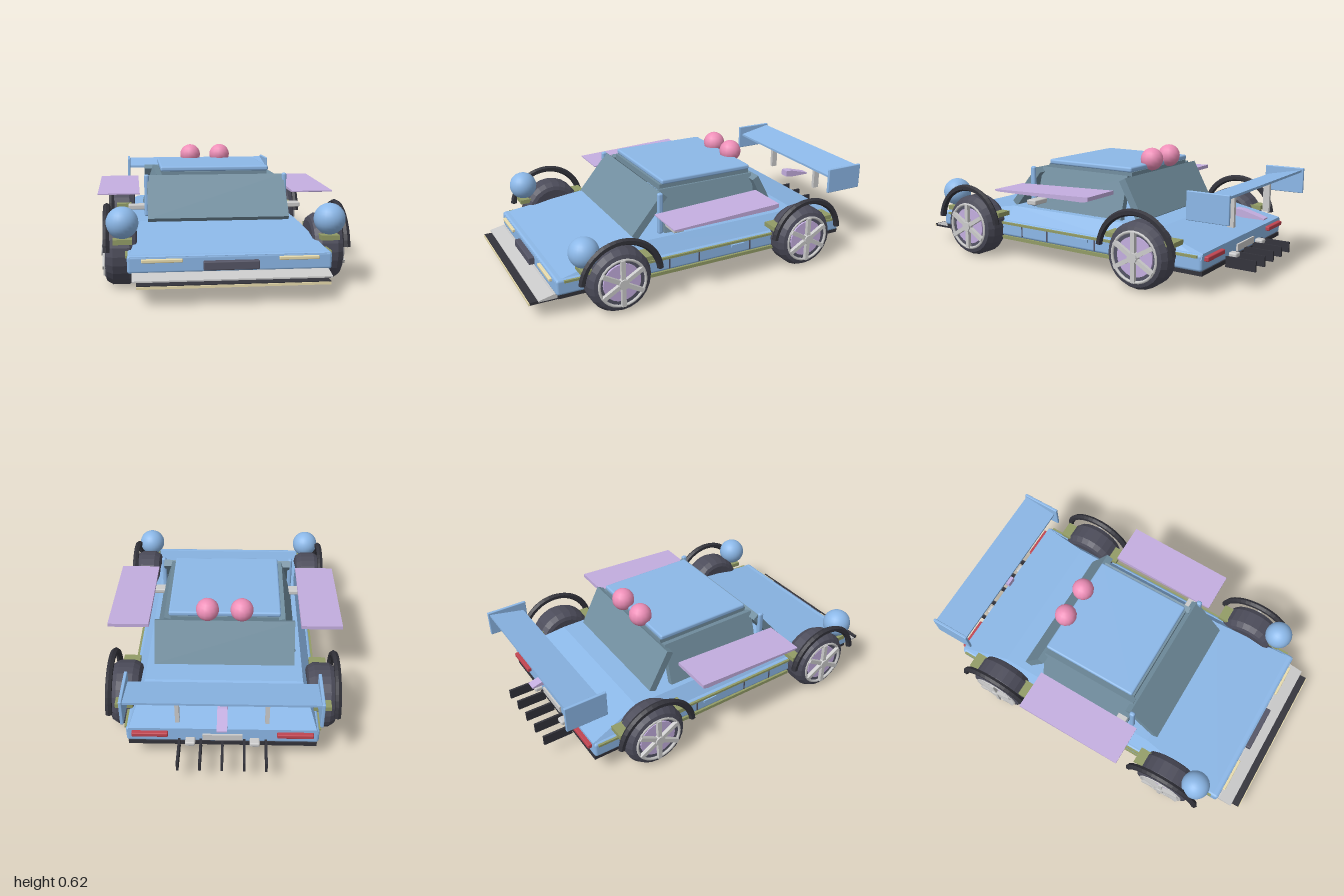
import * as THREE from 'three';
import { RoundedBoxGeometry } from 'three/addons/geometries/RoundedBoxGeometry.js';

const mat = (color, extra = {}) => new THREE.MeshStandardMaterial({ color, ...extra });
const blue = mat(0x8cb8e8), glass = mat(0x728fa0), lilac = mat(0xc4aee0), pink = mat(0xee8fb8);
const olive = mat(0x929c66), dark = mat(0x33333b), grey = mat(0xcccccc), cream = mat(0xe8dcae);
const red = mat(0xc04450), slate = mat(0x555566);
const rubber = mat(0x4c4c5a, { flatShading: true });
const SIDES = [-1, 1];

export function createModel() {
  const car = new THREE.Group();
  car.name = 'car';

  const add = (name, geometry, material, x = 0, y = 0, z = 0, parent = car) => {
    const mesh = new THREE.Mesh(geometry, material);
    mesh.name = name;
    mesh.position.set(x, y, z);
    parent.add(mesh);
    return mesh;
  };
  // Box given by its extents [min, max] on each axis
  const block = (name, material, [x0, x1], [y0, y1], [z0, z1], radius = 0) => {
    const size = [x1 - x0, y1 - y0, z1 - z0];
    const geometry = radius ? new RoundedBoxGeometry(...size, 2, radius) : new THREE.BoxGeometry(...size);
    return add(name, geometry, material, (x0 + x1) / 2, (y0 + y1) / 2, (z0 + z1) / 2);
  };
  // Same, mirrored to both sides
  const pair = (name, material, [x0, x1], ys, zs, radius = 0) =>
    SIDES.map(s => block(name, material, s > 0 ? [x0, x1] : [-x1, -x0], ys, zs, radius));
  // Side profile of [z, y] points, extruded across x
  const profile = (name, material, points, x0, x1) => {
    const shape = new THREE.Shape(points.map(([z, y]) => new THREE.Vector2(-z, y)));
    const geometry = new THREE.ExtrudeGeometry(shape, { depth: x1 - x0, bevelEnabled: false });
    geometry.rotateY(Math.PI / 2);
    return add(name, geometry, material, x0);
  };

  // Lower body and floor
  block('lowerBody', blue, [-0.48, 0.48], [0.12, 0.205], [-0.84, 0.87], 0.015);
  block('floor', dark, [-0.47, 0.47], [0.1, 0.122], [-0.84, 0.86]);
  add('upperBody', upperBody(), blue);

  // Side trim, sills, panel seams and handles
  pair('sideTrim', olive, [0.47, 0.488], [0.188, 0.2], [-0.82, 0.83]);
  pair('sill', olive, [0.46, 0.486], [0.104, 0.122], [-0.4, 0.4]);
  for (const z of [0.26, 0.085, -0.23]) pair('panelSeam', slate, [0.47, 0.482], [0.13, 0.188], [z - 0.004, z + 0.004]);
  pair('doorHandle', blue, [0.475, 0.49], [0.168, 0.182], [-0.19, -0.11]);

  // Cabin
  const windscreen = add('windscreen', new THREE.BoxGeometry(0.74, 0.27, 0.04), glass, 0, 0.388, 0.318);
  windscreen.rotation.x = -0.7;
  const rearWindow = add('rearWindow', new THREE.BoxGeometry(0.74, 0.235, 0.04), glass, 0, 0.388, -0.38);
  rearWindow.rotation.x = 0.5;
  for (const s of SIDES) {
    const side = add('sideWindow', new THREE.BoxGeometry(0.035, 0.23, 0.56), glass, s * 0.335, 0.39, -0.045);
    side.rotation.z = s * 0.28;
  }
  block('roofBase', glass, [-0.285, 0.285], [0.485, 0.518], [-0.33, 0.22]);
  block('roof', blue, [-0.295, 0.295], [0.517, 0.545], [-0.33, 0.21], 0.01);
  pair('pillar', blue, [0.36, 0.385], [0.285, 0.51], [0.245, 0.275], 0.01);
  pair('mirror', grey, [0.36, 0.47], [0.315, 0.342], [0.17, 0.23], 0.006);

  // Raised doors
  const door = [[0.31, 0.41], [0.29, 0.406], [-0.27, 0.412], [-0.3, 0.42], [-0.3, 0.44], [0.31, 0.416]];
  for (const s of SIDES) profile('raisedDoor', lilac, door, s > 0 ? 0.41 : -0.63, s > 0 ? 0.63 : -0.41);

  // Roof lamps and headlamps
  for (const s of SIDES) {
    add('roofLamp', new THREE.SphereGeometry(0.061, 14, 10), pink, s * 0.09, 0.565, -0.33);
    add('headlamp', new THREE.SphereGeometry(0.077, 24, 16), blue, s * 0.5, 0.337, 0.73);
  }

  // Nose
  pair('frontLight', cream, [0.225, 0.415], [0.174, 0.191], [0.86, 0.885], 0.004);
  block('grille', slate, [-0.13, 0.13], [0.137, 0.178], [0.86, 0.9], 0.005);
  profile('frontBumper', grey, [[0.86, 0.103], [0.955, 0.103], [0.955, 0.11], [0.88, 0.127], [0.86, 0.127]], -0.46, 0.46);
  block('splitter', dark, [-0.44, 0.44], [0.085, 0.1], [0.85, 0.995]);
  block('splitterLip', cream, [-0.44, 0.44], [0.084, 0.096], [0.994, 1]);

  // Tail
  pair('tailLight', red, [0.27, 0.45], [0.168, 0.192], [-0.862, -0.83], 0.005);
  block('rearPlate', grey, [-0.1, 0.1], [0.14, 0.175], [-0.85, -0.83]);
  pair('exhaust', grey, [0.135, 0.185], [0.125, 0.15], [-0.88, -0.82], 0.008);
  for (let i = -2; i <= 2; i++) {
    const x = i * 0.108;
    block('diffuserFin', dark, [x - 0.006, x + 0.006], [0.085, 0.14], [-1, -0.84]);
  }

  // Rear wing and the small fin beneath it
  profile('wing', blue, [[-0.77, 0.44], [-0.77, 0.452], [-0.96, 0.49], [-0.96, 0.478]], -0.46, 0.46);
  pair('wingEndPlate', blue, [0.458, 0.474], [0.36, 0.5], [-0.97, -0.75], 0.004);
  pair('wingPost', grey, [0.207, 0.227], [0.29, 0.465], [-0.88, -0.845]);
  profile('tailFin', lilac, [[-0.79, 0.34], [-0.79, 0.305], [-0.83, 0.298], [-0.95, 0.298], [-0.95, 0.305], [-0.83, 0.338]], -0.025, 0.025);

  // Wheels, arches and the mounting blocks above them
  for (const z of [0.567, -0.535]) {
    pair('archMount', olive, [0.455, 0.545], [0.236, 0.26], [z - 0.195, z + 0.195]);
    for (const s of SIDES) {
      const wheel = makeWheel(add);
      wheel.position.set(s * 0.508, 0.17, z);
      wheel.rotation.z = -s * Math.PI / 2;
      car.add(wheel);
      const arch = add('wheelArch', new THREE.TorusGeometry(0.209, 0.018, 6, 20, Math.PI * 0.92), dark, s * 0.576, 0.178, z);
      arch.rotation.set(0, Math.PI / 2, Math.PI * 0.04, 'YXZ');
      arch.material = archMaterial;
    }
  }
  return car;
}

const archMaterial = mat(0x33333b, { flatShading: true, side: THREE.DoubleSide });

// Hood, shoulders and rear deck lofted through sections of [z, top half width, top height]
function upperBody() {
  const sections = [[-0.84, 0.465, 0.208], [-0.56, 0.41, 0.28], [0.38, 0.41, 0.28], [0.868, 0.47, 0.2]];
  const positions = [], index = [];
  for (const [z, w, y] of sections) positions.push(-0.478, 0.18, z, 0.478, 0.18, z, w, y, z, -w, y, z);
  for (let i = 0; i < sections.length - 1; i++) {
    for (let j = 0; j < 4; j++) {
      const a = i * 4 + j, b = i * 4 + (j + 1) % 4;
      index.push(a, b, b + 4, a, b + 4, a + 4);
    }
  }
  const n = (sections.length - 1) * 4;
  index.push(0, 2, 1, 0, 3, 2, n, n + 1, n + 2, n, n + 2, n + 3);
  const geometry = new THREE.BufferGeometry();
  geometry.setAttribute('position', new THREE.Float32BufferAttribute(positions, 3));
  geometry.setIndex(index);
  const flat = geometry.toNonIndexed();
  flat.computeVertexNormals();
  return flat;
}

// Wheel with its axle along local y, outer face at +y
function makeWheel(add) {
  const wheel = new THREE.Group();
  wheel.name = 'wheel';
  const tyre = [[0.01, -0.07], [0.13, -0.077], [0.15, -0.07], [0.168, -0.04], [0.168, 0.04], [0.15, 0.07], [0.13, 0.077], [0.125, 0.05]];
  add('tyre', new THREE.LatheGeometry(tyre.map(p => new THREE.Vector2(...p)), 24), rubber, 0, 0, 0, wheel);
  add('rimBack', new THREE.CylinderGeometry(0.127, 0.127, 0.02, 24), slate, 0, 0.05, 0, wheel);
  add('brakeDisc', new THREE.CylinderGeometry(0.1, 0.1, 0.02, 24), lilac, 0, 0.06, 0, wheel);
  const ring = add('rimRing', new THREE.TorusGeometry(0.124, 0.008, 6, 28), grey, 0, 0.075, 0, wheel);
  ring.rotation.x = Math.PI / 2;
  for (let i = 0; i < 6; i++) {
    const a = i * Math.PI / 3;
    const spoke = add('spoke', new THREE.BoxGeometry(0.11, 0.02, 0.022), grey, Math.cos(a) * 0.07, 0.08, -Math.sin(a) * 0.07, wheel);
    spoke.rotation.y = a;
  }
  add('hub', new THREE.CylinderGeometry(0.026, 0.03, 0.04, 16), grey, 0, 0.077, 0, wheel);
  return wheel;
}
